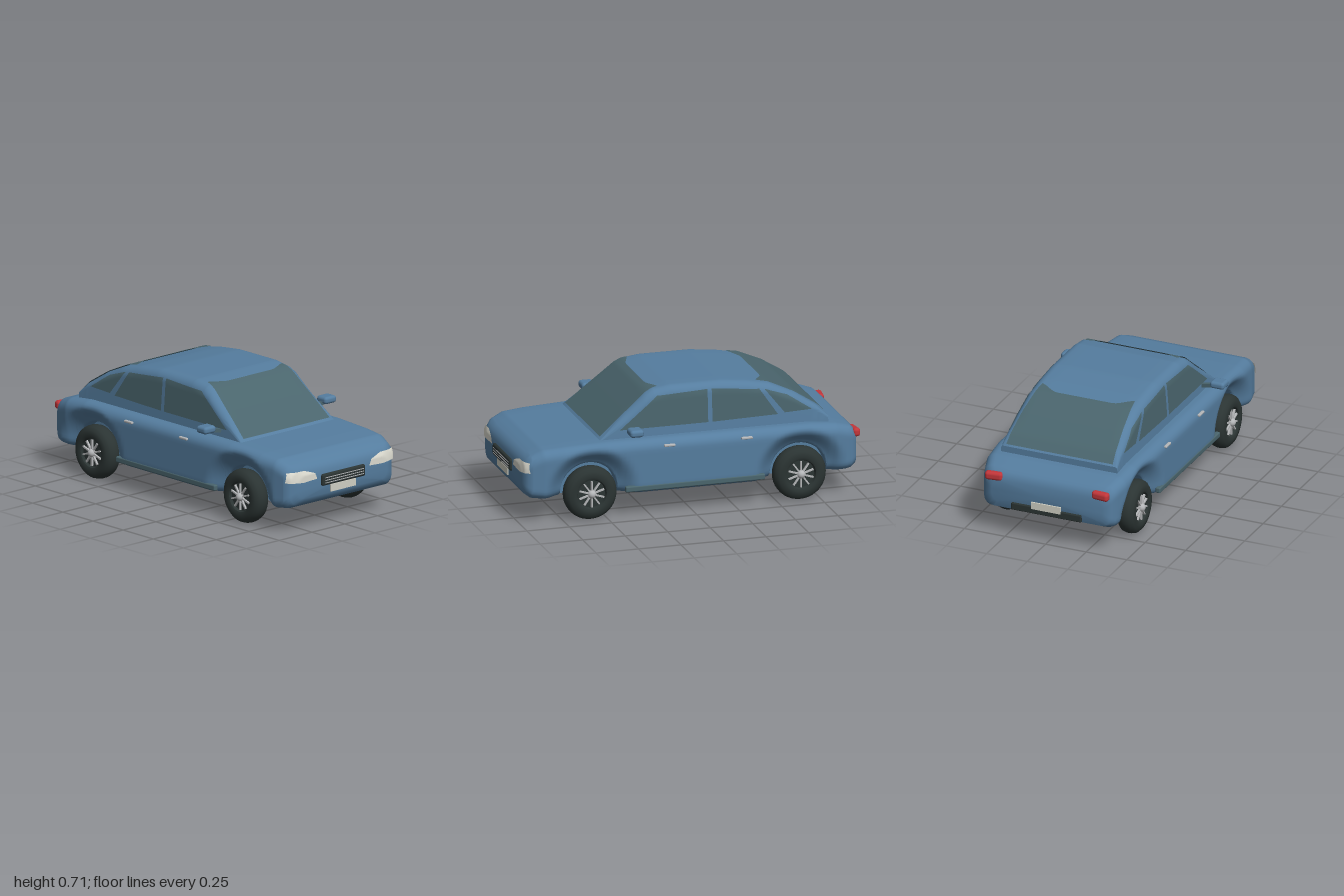
import * as THREE from 'three';
import { toCreasedNormals } from 'three/addons/utils/BufferGeometryUtils.js';
import { RoundedBoxGeometry } from 'three/addons/geometries/RoundedBoxGeometry.js';

const mat = (name, color, side = THREE.FrontSide) => {
  const m = new THREE.MeshStandardMaterial({ color, side });
  m.name = name;
  return m;
};
const paint = mat('blue paint', 0x557d9f);
const glass = mat('tinted glass', 0x4a656d, THREE.DoubleSide);
const rubber = mat('black rubber', 0x2b3433);
const silver = mat('silver', 0xb4b6b8);
const lamp = mat('lamp lens', 0xdcdbd0, THREE.DoubleSide);
const plateMat = mat('number plate', 0xd0d0c4);
const red = mat('tail lamp red', 0xc2363a);

const WHEELS_Z = [0.595, -0.635], WHEEL_Y = 0.155, ARCH = 0.168;

// Linear interpolation in rows sorted by falling z: [z, a, b, ...]
function sample(rows, z) {
  let i = 0;
  while (i < rows.length - 2 && z < rows[i + 1][0]) i++;
  const p = rows[i], q = rows[i + 1];
  const t = THREE.MathUtils.clamp((p[0] - z) / (p[0] - q[0]), 0, 1);
  return p.slice(1).map((v, k) => v + (q[k + 1] - v) * t);
}

// Skin over half sections (top centre to bottom centre), mirrored in x, front to back
function loft(zs, half, crease) {
  const pos = [], idx = [];
  let n = 0;
  for (const z of zs) {
    const h = half(z);
    const ring = [...h, ...h.slice(1, -1).reverse().map(([x, y]) => [-x, y])];
    n = ring.length;
    ring.forEach(([x, y]) => pos.push(x, y, z));
  }
  const last = (zs.length - 1) * n, c = zs.length * n;
  for (const z of [zs[0], zs[zs.length - 1]]) {
    const h = half(z);
    pos.push(0, (h[0][1] + h[h.length - 1][1]) / 2, z);
  }
  for (let j = 0; j < n; j++) {
    const k = (j + 1) % n;
    for (let i = 0; i < zs.length - 1; i++) {
      const a = i * n + j, b = i * n + k;
      idx.push(a, b, a + n, b, b + n, a + n);
    }
    idx.push(c, k, j, c + 1, last + j, last + k);
  }
  const g = new THREE.BufferGeometry();
  g.setAttribute('position', new THREE.Float32BufferAttribute(pos, 3));
  g.setIndex(idx);
  return toCreasedNormals(g, crease);
}

// Thin sheet over four 2D corners, laid on a surface by map(a, b, v)
function patch(c, map, n = 10) {
  const g = new THREE.PlaneGeometry(1, 1, n, n), p = g.attributes.position;
  for (let i = 0; i < p.count; i++) {
    const u = p.getX(i) + 0.5, v = p.getY(i) + 0.5;
    const at = k => (c[0][k] * (1 - u) + c[1][k] * u) * (1 - v) + (c[3][k] * (1 - u) + c[2][k] * u) * v;
    p.setXYZ(i, ...map(at(0), at(1), v));
  }
  g.computeVertexNormals();
  return g;
}

// Lower body: z, half width, top, bottom
const BODY = [
  [0.982, 0.34, 0.335, 0.2], [0.97, 0.385, 0.365, 0.17], [0.94, 0.41, 0.395, 0.15], [0.87, 0.425, 0.425, 0.142],
  [0.75, 0.435, 0.434, 0.137], [0.5, 0.44, 0.444, 0.132], [-0.7, 0.44, 0.44, 0.132], [-0.85, 0.43, 0.425, 0.14],
  [-0.94, 0.405, 0.398, 0.15], [-0.972, 0.38, 0.37, 0.165], [-0.984, 0.34, 0.335, 0.2]];

function bodyHalf(z) {
  const [w, top, bot] = sample(BODY, z), r = 0.06, pts = [];
  const wz = WHEELS_Z.find(c => Math.abs(z - c) <= ARCH + 1e-6);
  const low = wz === undefined ? bot : WHEEL_Y + Math.sqrt(Math.max(0, ARCH ** 2 - (z - wz) ** 2));
  const rb = wz === undefined ? 0.05 : 0.012;
  for (let i = 0; i < 4; i++) pts.push([(w - r) * i / 4, top]);
  for (let i = 0; i <= 6; i++) {
    const t = i / 6 * Math.PI / 2;
    pts.push([w - r + r * Math.sin(t), top - r + r * Math.cos(t)]);
  }
  for (let i = 1; i < 10; i++) pts.push([w, THREE.MathUtils.lerp(top - r, low + rb, i / 10)]);
  for (let i = 0; i <= 5; i++) {
    const t = i / 5 * Math.PI / 2;
    pts.push([w - rb + rb * Math.cos(t), low + rb - rb * Math.sin(t)]);
  }
  // Pinch the sides inwards around each wheel
  for (const p of pts) for (const c of WHEELS_Z) {
    const d = Math.hypot(z - c, p[1] - WHEEL_Y);
    if (p[0] > 0.3) p[0] = Math.max(0.3, p[0] - 0.075 * (1 - THREE.MathUtils.smoothstep(d, ARCH - 0.02, ARCH + 0.11)));
  }
  pts.push([0.295, low], [0.295, bot], [0, bot]);
  return pts;
}

// Foremost z of the nose at x, y
function noseZ(x, y) {
  let a = 0.7, b = 0.982;
  for (let i = 0; i < 24; i++) {
    const z = (a + b) / 2, [w, top, bot] = sample(BODY, z), r = 0.06;
    const dx = Math.max(0, Math.abs(x) - w + r), dy = Math.max(0, y - top + r, bot + r - y);
    if (Math.hypot(dx, dy) < r) a = z; else b = z;
  }
  return a;
}

// Cabin: roof line and sides that lean inwards
const ROOF = [[0.535, 0.436], [0.36, 0.583], [0.24, 0.68], [0.2, 0.7], [0.1, 0.715], [-0.2, 0.714], [-0.35, 0.697],
  [-0.48, 0.672], [-0.63, 0.606], [-0.76, 0.52], [-0.815, 0.465]];
const roofY = z => sample(ROOF, z)[0];
const lean = y => 0.358 - 0.075 * (y - 0.44);
function cabinShape(z) {
  const top = roofY(z), r = Math.min(0.06, 0.35 * (top - 0.42));
  return { top, r, cx: lean(top - r) - r };
}
function cabinHalf(z) {
  const { top, r, cx } = cabinShape(z), pts = [];
  for (let i = 0; i < 4; i++) pts.push([cx * i / 4, top]);
  for (let i = 0; i <= 8; i++) {
    const t = i / 8 * Math.PI / 2;
    pts.push([cx + r * Math.sin(t), top - r + r * Math.cos(t)]);
  }
  pts.push([lean(0.42), 0.42], [0, 0.42]);
  return pts;
}
function cabinTop(x, z) {
  const { top, r, cx } = cabinShape(z), d = Math.min(r, Math.max(0, Math.abs(x) - cx));
  return top - r + Math.sqrt(r * r - d * d);
}
function cabinSide(y, z) {
  const { top, r, cx } = cabinShape(z), d = y - top + r;
  return d <= 0 ? lean(y) : cx + Math.sqrt(Math.max(0, r * r - d * d));
}

export function createModel() {
  const car = new THREE.Group();
  car.name = 'car';
  const add = (name, geo, material, x = 0, y = 0, z = 0, parent = car) => {
    const m = new THREE.Mesh(geo, material);
    m.name = name;
    m.position.set(x, y, z);
    parent.add(m);
    return m;
  };
  const rbox = (w, h, d, r) => new RoundedBoxGeometry(w, h, d, 3, r);

  // Body shell, with extra sections at the wheel arches
  let zs = BODY.map(r => r[0]);
  for (let i = 1; i < 80; i++) zs.push(0.982 - 1.966 * i / 80);
  for (const c of WHEELS_Z) {
    for (let i = 0; i <= 20; i++) zs.push(c + ARCH * Math.cos(i / 20 * Math.PI));
    zs.push(c + ARCH + 0.001, c - ARCH - 0.001);
  }
  add('body', loft(zs.sort((a, b) => b - a), bodyHalf, 0.7), paint);

  // Cabin shell
  zs = ROOF.map(r => r[0]);
  for (let i = 1; i < 40; i++) zs.push(0.535 - 1.35 * i / 40);
  add('cabin', loft(zs.sort((a, b) => b - a), cabinHalf, 0.6), paint);

  // Front and rear screens, their upper corners swept towards the middle of the roof
  const screen = sweep => (x, z, v) => {
    const zz = z + sweep * v * THREE.MathUtils.smoothstep(Math.abs(x), 0.17, 0.3);
    return [x, cabinTop(x, zz) + 0.005, zz + (sweep < 0 ? 0.003 : -0.003)];
  };
  add('windscreen', patch([[-0.328, 0.515], [0.328, 0.515], [0.285, 0.205], [-0.285, 0.205]], screen(-0.04), 24), glass);
  add('rearScreen', patch([[0.328, -0.808], [-0.328, -0.808], [-0.285, -0.465], [0.285, -0.465]], screen(0.06), 24), glass);

  // Side windows as z, y corners
  const panes = {
    frontWindow: [[0.41, 0.492], [-0.11, 0.492], [-0.11, 0.682], [0.185, 0.67]],
    rearWindow: [[-0.135, 0.492], [-0.52, 0.5], [-0.415, 0.654], [-0.135, 0.682]],
    quarterWindow: [[-0.56, 0.506], [-0.72, 0.512], [-0.58, 0.605], [-0.445, 0.651]],
  };
  for (const s of [1, -1]) {
    const side = s > 0 ? 'left' : 'right';
    for (const [name, c] of Object.entries(panes))
      add(side + name, patch(c, (z, y) => [s * (cabinSide(y, z) + 0.004), y, z]), glass);

    // Headlamps wrapped round the nose
    const onNose = (x, y) => [s * x, y, noseZ(x * 0.985, y) + 0.006];
    add(side + 'Headlamp', patch([[0.198, 0.3], [0.3, 0.295], [0.29, 0.361], [0.214, 0.336]], onNose), lamp);
    add(side + 'HeadlampCorner', patch([[0.3, 0.295], [0.412, 0.305], [0.402, 0.362], [0.29, 0.361]], onNose), lamp);

    add(side + 'TailLamp', rbox(0.105, 0.05, 0.045, 0.018), red, s * 0.328, 0.352, -0.974).rotation.y = s * 0.12;

    // Door mirror on its stalk
    add(side + 'Mirror', rbox(0.088, 0.042, 0.08, 0.017), paint, s * 0.459, 0.506, 0.35);
    add(side + 'MirrorStalk', new THREE.BoxGeometry(0.1, 0.02, 0.025), glass, s * 0.385, 0.484, 0.35).rotation.z = s * 0.18;

    for (const z of [0.142, -0.312])
      add(side + 'DoorHandle', rbox(0.018, 0.014, 0.066, 0.005), silver, s * 0.44, 0.405, z);
    add(side + 'Sill', rbox(0.03, 0.034, 0.82, 0.008), glass, s * 0.428, 0.166, -0.01);
  }

  // Grille, plates and rear bumper strip
  add('grille', rbox(0.328, 0.068, 0.035, 0.012), rubber, 0, 0.283, 0.98);
  for (const y of [0.266, 0.281, 0.296])
    add('grilleBar', new THREE.BoxGeometry(0.29, 0.004, 0.006), silver, 0, y, 0.997);
  add('frontPlate', new THREE.BoxGeometry(0.19, 0.042, 0.009), plateMat, 0, 0.226, 0.985);
  add('rearBumperStrip', rbox(0.43, 0.042, 0.025, 0.006), rubber, 0, 0.193, -0.985);
  add('rearPlate', new THREE.BoxGeometry(0.18, 0.042, 0.009), plateMat, 0, 0.222, -0.996);

  // Wheels: tyre with a dished face, ten spokes and a hub
  const tyreProfile = [[0, -0.05], [0.1, -0.053], [0.13, -0.049], [0.148, -0.033], [0.154, -0.014], [0.155, 0],
    [0.154, 0.014], [0.148, 0.033], [0.13, 0.05], [0.1, 0.056], [0.086, 0.05], [0.08, 0.034], [0, 0.034]];
  const tyreGeo = toCreasedNormals(new THREE.LatheGeometry(tyreProfile.map(p => new THREE.Vector2(...p)), 40), 0.7);
  for (const [i, z] of WHEELS_Z.entries()) for (const s of [1, -1]) {
    const wheel = new THREE.Group();
    wheel.name = (i ? 'rear' : 'front') + (s > 0 ? 'Left' : 'Right') + 'Wheel';
    wheel.position.set(s * 0.381, WHEEL_Y, z);
    wheel.rotation.z = -s * Math.PI / 2;
    add('tyre', tyreGeo, rubber, 0, 0, 0, wheel);
    for (let k = 0; k < 10; k++) {
      const a = k / 10 * Math.PI * 2;
      add('spoke', new THREE.BoxGeometry(0.064, 0.012, 0.009), silver,
        0.044 * Math.cos(a), 0.042, 0.044 * Math.sin(a), wheel).rotation.y = -a;
    }
    add('hub', new THREE.SphereGeometry(0.024, 20, 12), silver, 0, 0.044, 0, wheel);
    car.add(wheel);
  }
  return car;
}
